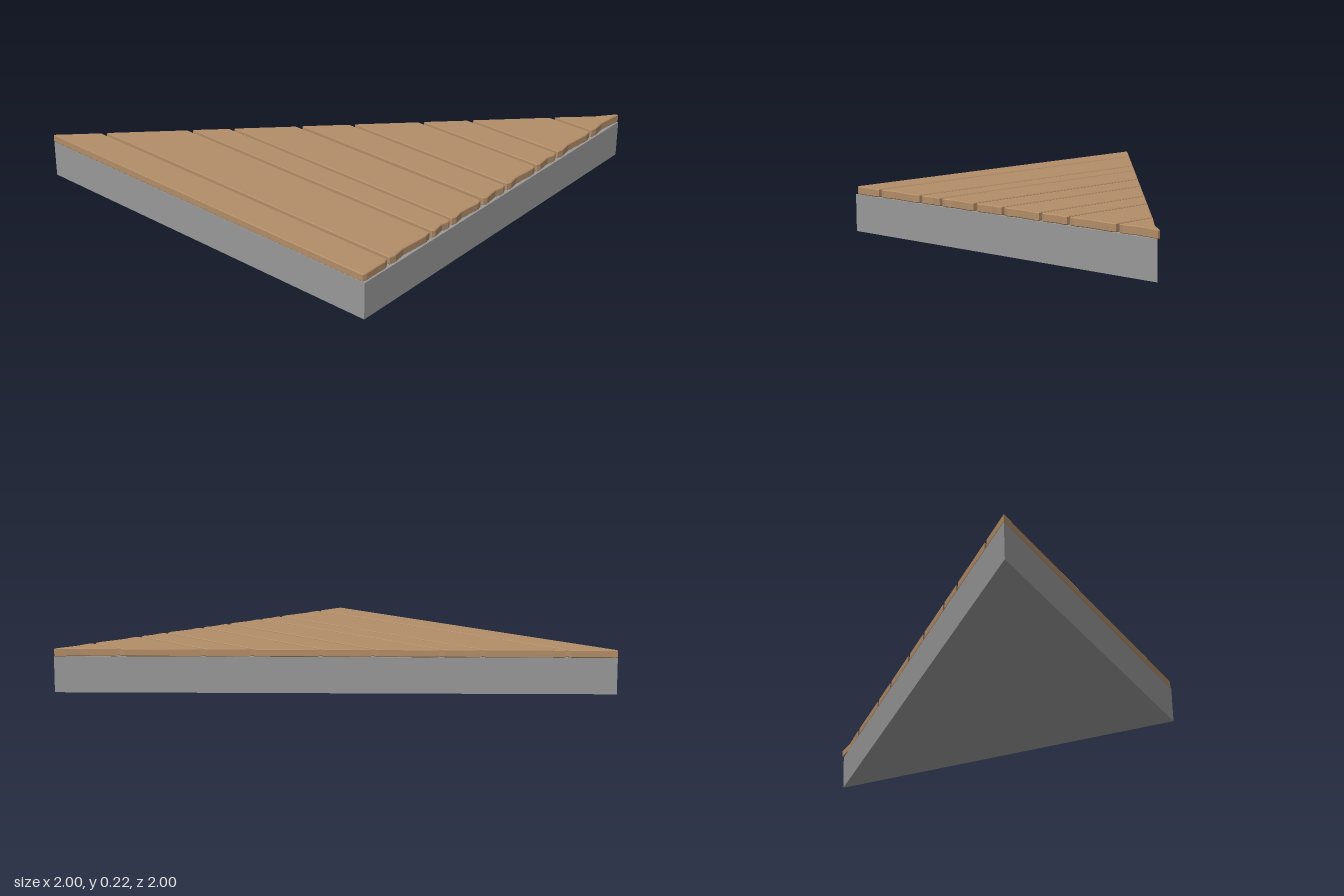
import * as THREE from 'three';

const BASE_TOP = 0.185;
const DECK_TOP = 0.225;

// Extrude a plan outline of [x, z] points upwards from y0 to y1
function slab(name, outline, y0, y1, bevel, material) {
  const shape = new THREE.Shape(outline.map(([x, z]) => new THREE.Vector2(x, -z)));
  const geometry = new THREE.ExtrudeGeometry(shape, {
    depth: y1 - y0 - 2 * bevel,
    bevelEnabled: bevel > 0,
    bevelThickness: bevel,
    bevelSize: bevel,
    bevelOffset: -bevel,
    bevelSegments: 1,
  });
  geometry.rotateX(-Math.PI / 2);
  geometry.translate(0, y0 + bevel, 0);
  const mesh = new THREE.Mesh(geometry, material);
  mesh.name = name;
  return mesh;
}

export function createModel() {
  const group = new THREE.Group();
  group.name = 'triangularDeck';
  const stone = new THREE.MeshStandardMaterial({ color: 0x999999, flatShading: true });
  const wood = new THREE.MeshStandardMaterial({ color: 0xb28d68, flatShading: true });

  // Solid right-angled base
  group.add(slab('base', [[-1, 1], [1, 1], [1, -1]], 0, BASE_TOP, 0, stone));

  // Planks as [front z, back z], cut along the diagonal x = -z
  const planks = [
    [1, 0.835], [0.815, 0.535], [0.515, 0.388], [0.37, 0.153], [0.13, -0.035],
    [-0.055, -0.28], [-0.3, -0.455], [-0.475, -0.75],
  ];
  planks.forEach(([front, back], i) => {
    // Slightly worn right-hand end
    const wear = i === 0 ? 0 : 0.009;
    const at = (t) => front + (back - front) * t;
    const t = i % 2 ? 0.35 : 0.6;
    group.add(slab(`plank${i + 1}`, [
      [-front, front], [0.988, front], [0.995, at(0.12)],
      [0.994 - wear, at(t)], [0.995, at(0.88)], [0.988, back], [-back, back],
    ], BASE_TOP, DECK_TOP, 0.004, wood));
  });

  // Last plank, narrowing to the back tip
  group.add(slab('tipPlank', [
    [0.77, -0.77], [0.988, -0.77], [0.994, -0.8], [0.983, -0.87],
    [0.996, -1], [0.985, -1], [0.91, -0.905],
  ], BASE_TOP, DECK_TOP, 0.003, wood));

  return group;
}
